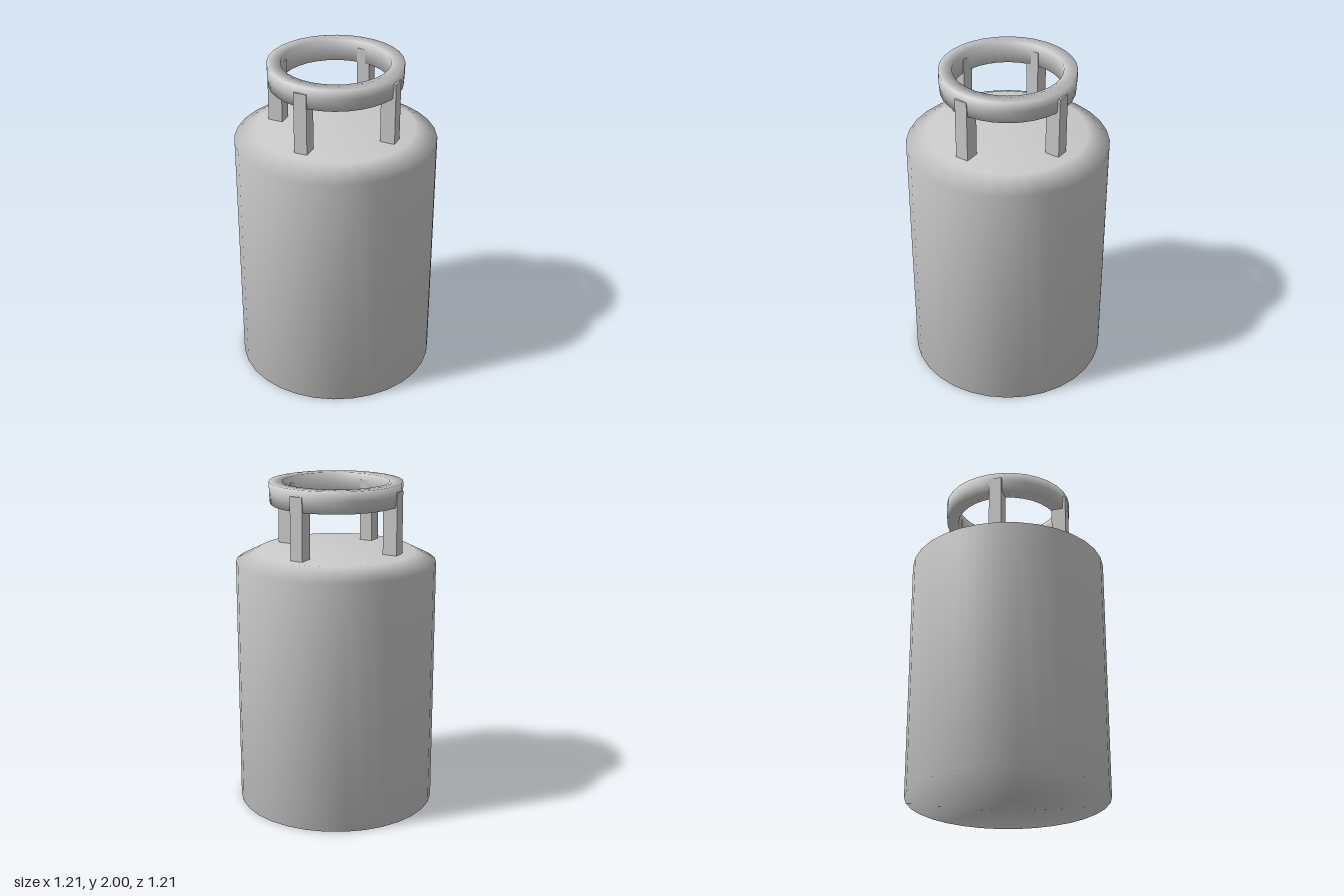
import * as THREE from 'three';
import { mergeVertices } from 'three/addons/utils/BufferGeometryUtils.js';

const SIDES = 32;
const material = new THREE.MeshStandardMaterial({ color: 0xcccccc });

// Revolve a profile and blend the normals over every edge
function revolve(name, points) {
  const lathe = new THREE.LatheGeometry(points.map(([r, y]) => new THREE.Vector2(r, y)), SIDES, Math.PI / 2);
  lathe.deleteAttribute('normal');
  lathe.deleteAttribute('uv');
  const geometry = mergeVertices(lathe, 1e-4);
  geometry.computeVertexNormals();
  const mesh = new THREE.Mesh(geometry, material);
  mesh.name = name;
  return mesh;
}

export function createModel() {
  const model = new THREE.Group();
  model.name = 'gasCylinder';

  // Tank with flat base, bevelled shoulder and flat top
  model.add(revolve('tank', [[0, 0], [0.605, 0], [0.605, 1.52], [0.475, 1.585], [0, 1.585]]));

  // Handle ring
  model.add(revolve('handleRing', [[0.32, 1.87], [0.395, 1.87], [0.4, 1.94], [0.4, 2], [0.32, 2], [0.32, 1.87]]));

  // Four square posts, each set to one side of its axis
  const width = 0.08, inner = 0.315, outer = 0.405, bottom = 1.58, top = 1.96;
  const depth = outer - inner, mid = (inner + outer) / 2;
  const posts = [
    ['frontPost', -width / 2, mid],
    ['backPost', width / 2, -mid],
    ['leftPost', mid, width / 2],
    ['rightPost', -mid, width / 2],
  ];
  for (const [name, x, z] of posts) {
    const side = Math.abs(x) > Math.abs(z);
    const geometry = new THREE.BoxGeometry(side ? depth : width, top - bottom, side ? width : depth);
    const post = new THREE.Mesh(geometry, material);
    post.name = name;
    post.position.set(x, (top + bottom) / 2, z);
    model.add(post);
  }
  return model;
}
